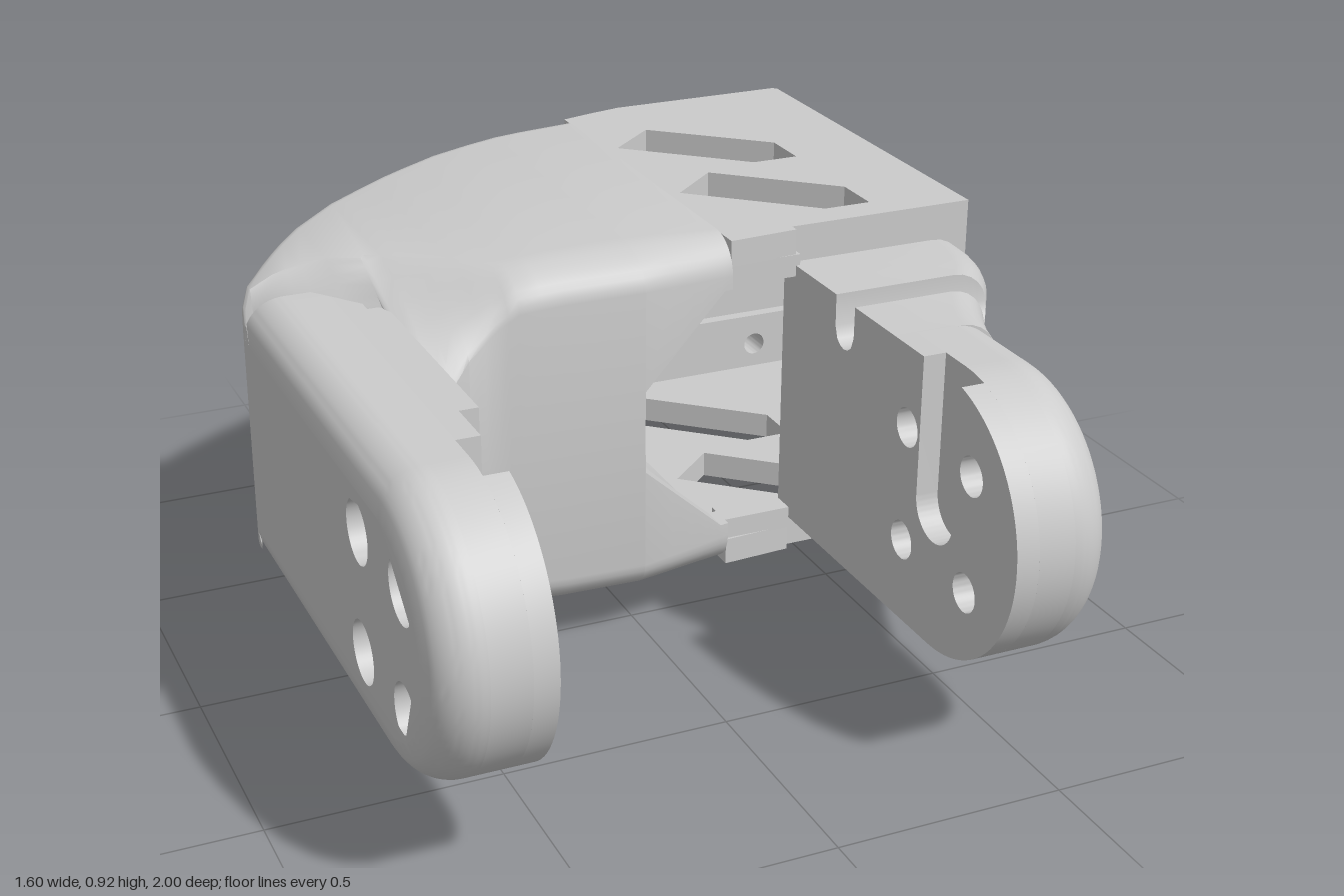
import * as THREE from 'three';
import { toCreasedNormals } from 'three/addons/utils/BufferGeometryUtils.js';

const MID = 0.515; // height of the mirror plane
const mat = new THREE.MeshStandardMaterial({ color: 0xcccccc, side: THREE.DoubleSide });

function mesh(name, geo, parent) {
  const m = new THREE.Mesh(toCreasedNormals(geo, 0.6), mat);
  m.name = name;
  parent.add(m);
  return m;
}
function box(name, parent, x0, x1, y0, y1, z0, z1) {
  const g = new THREE.BoxGeometry(x1 - x0, y1 - y0, z1 - z0);
  g.translate((x0 + x1) / 2, (y0 + y1) / 2, (z0 + z1) / 2);
  return mesh(name, g, parent);
}
const poly = pts => new THREE.Shape(pts.map(p => new THREE.Vector2(...p)));
const disc = (x, y, r) => new THREE.Path().absarc(x, y, r, 0, Math.PI * 2);
const extrude = (shape, depth, steps = 1) =>
  new THREE.ExtrudeGeometry(shape, { depth, steps, bevelEnabled: false, curveSegments: 20 });

// Piecewise linear lookup
function look(t, x) {
  if (x <= t[0][0]) return t[0][1];
  for (let i = 1; i < t.length; i++) if (x <= t[i][0]) {
    const [a, b] = [t[i - 1], t[i]];
    return a[1] + (b[1] - a[1]) * (x - a[0]) / (b[0] - a[0]);
  }
  return t[t.length - 1][1];
}

// Solid from closed loops; the end caps pair point i with point n-1-i
function loft(loops) {
  const n = loops[0].length, idx = [];
  for (let s = 0; s < loops.length - 1; s++) for (let i = 0; i < n; i++) {
    const a = s * n + i, b = s * n + (i + 1) % n;
    idx.push(a, b, a + n, b, b + n, a + n);
  }
  for (const [o, flip] of [[0, false], [(loops.length - 1) * n, true]])
    for (let i = 0; i < n / 2 - 1; i++) {
      const [a, b, c, d] = [o + i, o + i + 1, o + n - 2 - i, o + n - 1 - i];
      idx.push(...(flip ? [a, b, c, a, c, d] : [a, c, b, a, d, c]));
    }
  const g = new THREE.BufferGeometry();
  g.setAttribute('position', new THREE.Float32BufferAttribute(loops.flat(2), 3));
  g.setIndex(idx);
  g.computeVertexNormals();
  return g;
}

// Body outline in plan and elevation
const BACK = [[-0.8, -0.2], [-0.785, -0.26], [-0.76, -0.31], [-0.71, -0.385], [-0.65, -0.45], [-0.6, -0.495],
  [-0.5, -0.57], [-0.4, -0.63], [-0.3, -0.685], [-0.2, -0.735], [-0.1, -0.777], [0, -0.812], [0.2, -0.872], [0.36, -0.91]];
const TOP = [[-0.8, 0.775], [-0.76, 0.815], [-0.7, 0.845], [-0.6, 0.873], [-0.5, 0.89], [-0.35, 0.905],
  [-0.2, 0.914], [0, 0.916], [0.2, 0.905]];
const FRONT = [[-0.53, 0.3], [-0.5, 0.225], [-0.47, 0.18], [-0.42, 0.138], [-0.35, 0.115], [-0.02, 0.125], [0.2, 0.085]];
const arcHalf = x => Math.sqrt(Math.max(0, 0.53 ** 2 - (x + 0.27) ** 2));

// Upper half of the hollow cross-section at x
function section(x) {
  const inArm = x < -0.53, zb = look(BACK, x), top = look(TOP, x);
  const zf = inArm ? Math.max(x + 0.5, zb + 0.05) : look(FRONT, x);
  const w = zf - zb, t = Math.min(0.065, w * 0.25), k = Math.min(1, Math.max(0, (-0.3 - x) / 0.23));
  const z0 = inArm ? zf - Math.min(0.15, w * 0.4) : -0.2 * k;
  const e = 1 + k * 0.9, ry = inArm ? 0.07 : 0.08 + 0.125 * k, r = Math.min(0.05, w * 0.3);
  let hb = Math.min(0.32, Math.max(0, 0.83 * (x + 0.71)));
  if (x > 0.14) hb = Math.min(hb, arcHalf(x));
  const hf = x < -0.02 ? 0 : Math.min(0.28, 0.095 + (x + 0.02) * 0.925);
  const side = (b, f, y, zc) => {
    const rb = Math.max(0.003, Math.min(r, y - MID - hb - 0.003));
    const rf = Math.max(0.003, Math.min(ry, y - MID - hf - 0.003));
    const p = [[x, MID + hb, b]];
    for (let i = 0; i <= 5; i++) {
      const a = i / 5 * Math.PI / 2;
      p.push([x, y - rb + rb * Math.sin(a), b + rb * (1 - Math.cos(a))]);
    }
    for (let i = 0; i <= 8; i++) {
      const a = i / 8 * Math.PI / 2;
      p.push([x, y - rf + rf * Math.abs(Math.cos(a)) ** e, zc + (f - zc) * Math.sin(a) ** e]);
    }
    p.push([x, MID + hf, f]);
    return p;
  };
  const f = Math.min(zf, 0.1) - t;
  return [...side(zb, zf, top, z0), ...side(zb + t, f, top - t, Math.min(z0, f - 0.01)).reverse()];
}

// Half of the housing, mirrored for the bottom
function housingHalf(name) {
  const g = new THREE.Group();
  g.name = name;
  const xs = [-0.8, -0.785, -0.76, -0.735, -0.71, -0.68, -0.65, -0.6, -0.54, -0.53, -0.5, -0.47, -0.44, -0.42, -0.38,
    -0.35, -0.324, -0.3, -0.25, -0.2, -0.1, -0.021, -0.02, 0.05, 0.1, 0.14, 0.16, 0.18, 0.2];
  mesh('curvedShell', loft(xs.map(section)), g);
  // flat plate with two hexagonal windows
  const plate = poly([[0.2, 0.075], [0.2, -0.872], [0.28, -0.893], [0.36, -0.91], [0.79, -0.91], [0.8, -0.9],
    [0.8, 0.045], [0.36, 0.045], [0.36, 0.065]]);
  for (const dz of [0, 0.355]) plate.holes.push(new THREE.Path(
    [[0.23, -0.61], [0.35, -0.715], [0.59, -0.5], [0.59, -0.385], [0.48, -0.385]].map(p => new THREE.Vector2(p[0], p[1] + dz))));
  mesh('windowPlate', extrude(plate, 0.06).rotateX(Math.PI / 2).translate(0, 0.902, 0), g);
  box('frontLip', g, 0.2, 0.37, 0.795, 0.845, 0, 0.068);
  // stepped rails on the inside of the back wall
  const rail = poly([[0.227, 0.7], [0.8, 0.7], [0.8, 0.845], [0.2, 0.845]]);
  rail.holes.push(disc(0.7, 0.78, 0.028));
  mesh('outerRail', extrude(rail, 0.06).translate(0, 0, -0.86), g);
  box('innerRail', g, 0.258, 0.8, 0.57, 0.7, -0.86, -0.83);
  return g;
}

// Layer of the back wall; its left edge is the arc of the rear opening
function backLayer(holeR, z, depth) {
  const pts = [[0.36, 0.19], [0.8, 0.19], [0.8, 0.845], [0.36, 0.845], [0.2, 0.845]];
  for (let i = 0; i <= 12; i++) {
    const dy = 0.245 * (1 - i / 6);
    pts.push([-0.27 + Math.sqrt(0.53 ** 2 - dy * dy), MID + dy]);
  }
  pts.push([0.2, 0.19]);
  const s = poly(pts);
  for (const y of [0.25, 0.78]) s.holes.push(disc(0.7, y, holeR));
  const g = extrude(s, depth), p = g.attributes.position;
  for (let i = 0; i < p.count; i++) p.setZ(i, p.getZ(i) + z + look(BACK, p.getX(i)) + 0.91);
  return g;
}

// Arm: inner face at x = 0, outer face at x = -0.23
function arm(name, z0) {
  const g = new THREE.Group(), C = 0.695, R = 0.305;
  g.name = name;
  const layer = (part, x, depth, holeR, slot, steps) => {
    const s = new THREE.Shape();
    s.moveTo(z0, MID - R);
    s.lineTo(C, MID - R);
    if (slot) {
      s.absarc(C, MID, R, -Math.PI / 2, Math.acos(0.07 / R), false);
      s.lineTo(0.765, MID);
      s.absarc(0.6925, MID, 0.0725, 0, Math.PI, true);
      s.lineTo(0.62, MID + R);
    } else s.absarc(C, MID, R, -Math.PI / 2, Math.PI / 2, false);
    s.lineTo(z0, MID + R);
    for (const z of [0.57, 0.82]) for (const y of [0.39, 0.645]) s.holes.push(disc(z, y, holeR));
    const geo = extrude(s, depth, steps).rotateY(-Math.PI / 2);
    if (steps > 1) { // round the outer rim
      const p = geo.attributes.position;
      for (let i = 0; i < p.count; i++) {
        const u = Math.min(1, Math.max(0, (-p.getX(i) - 0.01) / 0.09));
        const dz = Math.max(0, p.getZ(i) - C), dy = p.getY(i) - MID, d = Math.hypot(dz, dy) || 1;
        const cut = 0.085 * (1 - Math.sqrt(1 - u * u)) * Math.max(0, (d - 0.2) / 0.105);
        const k = (d - cut) / d;
        p.setY(i, MID + dy * k);
        if (dz > 0) p.setZ(i, C + dz * k);
      }
    }
    mesh(part, geo.translate(x, 0, 0), g);
  };
  layer('slottedFace', 0, 0.05, 0.042, true, 1);
  layer('armCore', -0.05, 0.08, 0.045, false, 1);
  layer('roundedOuter', -0.13, 0.1, 0.065, false, 14);
  return g;
}

// Flared root of the right arm with a cable notch across its top
function armRoot() {
  const OUT = [[0.02, 0.8], [0.1, 0.795], [0.15, 0.785], [0.2, 0.765], [0.27, 0.72], [0.33, 0.677], [0.4, 0.64],
    [0.46, 0.615], [0.51, 0.6]];
  const zs = [0.02, 0.06, 0.1, 0.15, 0.2, 0.254, 0.255, 0.265, 0.28, 0.295, 0.31, 0.325, 0.335, 0.336, 0.4, 0.46, 0.51];
  return loft(zs.map(z => {
    const xo = look(OUT, z), r = 0.085, notch = z > 0.2545 && z < 0.3355;
    const top = notch ? 0.75 - Math.sqrt(Math.max(0, 0.04 ** 2 - (z - 0.295) ** 2)) : 0.82;
    const loop = [[0.36, 0.21, z]];
    for (let i = 0; i <= 6; i++) {
      const a = i / 6 * Math.PI / 2;
      loop.push([xo - r + r * Math.sin(a), 0.21 + r * (1 - Math.cos(a)), z]);
    }
    for (let i = 0; i <= 6; i++) {
      const a = i / 6 * Math.PI / 2, y = 0.82 - r + r * Math.sin(a);
      loop.push([xo - r + r * Math.cos(a), Math.min(top, y), z]);
    }
    loop.push([0.36, top, z]);
    return loop;
  }));
}

export function createModel() {
  const model = new THREE.Group();
  model.name = 'bracket';

  model.add(housingHalf('housingTop'));
  const bottom = housingHalf('housingBottom');
  bottom.scale.y = -1;
  bottom.position.y = 2 * MID;
  model.add(bottom);

  mesh('backWallOuter', backLayer(0.045, -0.91, 0.025), model);
  mesh('backWallInner', backLayer(0.028, -0.885, 0.028), model);
  box('frontWall', model, 0.36, 0.8, 0.185, 0.845, 0.015, 0.045);

  // arms
  const armA = arm('rightArm', -0.2);
  armA.position.x = -0.57;
  const armB = arm('leftArm', 0.5);
  armB.position.x = 0.36;
  armB.scale.x = -1;
  model.add(armA, armB);
  box('armStep', model, -0.572, -0.53, 0.21, 0.82, -0.06, 0.5);
  mesh('flaredArmRoot', armRoot(), model);

  // cable clip under the housing
  const clip = poly([[-0.34, 0.015], [-0.325, 0], [-0.21, 0], [-0.21, 0.03], [-0.25, 0.065], [-0.25, 0.095], [-0.225, 0.115],
    [-0.225, 0.15], [-0.34, 0.15]]);
  for (const s of [1, -1]) {
    const c = mesh('cableClip', extrude(clip, 0.26).translate(0.185, 0, -0.55), model);
    c.scale.x = s;
    c.position.x = -0.185;
  }
  box('clipBridge', model, -0.23, -0.14, 0.115, 0.15, -0.55, -0.29);

  // chamfered lug on the back
  const lug = poly([[-0.86, 0.13], [-1, 0.13], [-1, 0.22], [-0.91, 0.31], [-0.86, 0.31]]);
  mesh('backLug', extrude(lug, 0.18).rotateY(-Math.PI / 2).translate(0.38, 0, 0), model);
  return model;
}
